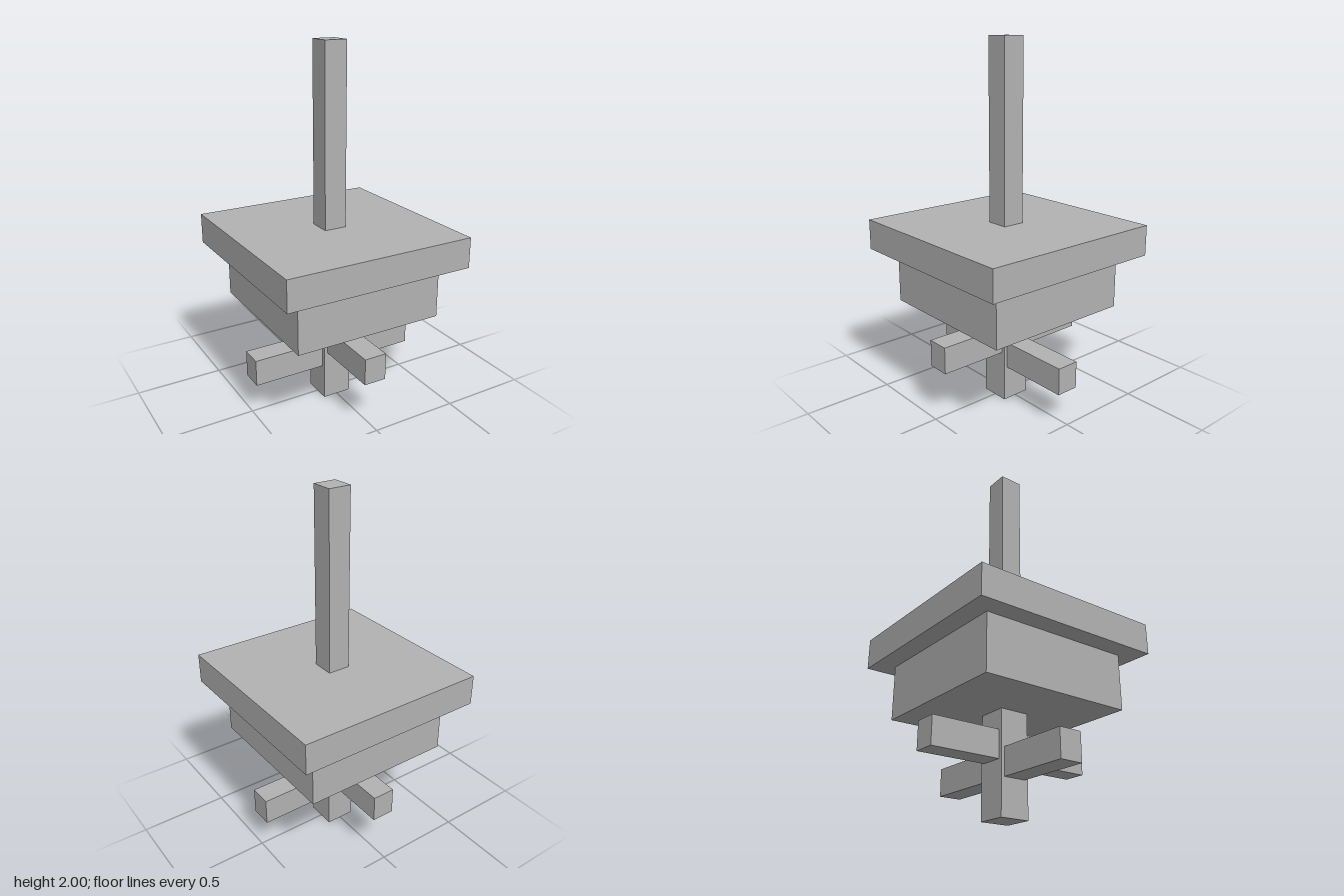
import * as THREE from 'three';

export function createModel() {
  const model = new THREE.Group();
  const grey = new THREE.MeshStandardMaterial({ color: 0xb2b2b2 });
  grey.name = 'plain grey';

  // Centred box spanning y0 to y1
  const block = (name, width, depth, y0, y1) => {
    const mesh = new THREE.Mesh(new THREE.BoxGeometry(width, y1 - y0, depth), grey);
    mesh.name = name;
    mesh.position.y = (y0 + y1) / 2;
    model.add(mesh);
  };

  // Upper post, top plate and body
  block('upperPost', 0.127, 0.127, 1.013, 2);
  block('topPlate', 1.074, 1.074, 0.843, 1.013);
  block('body', 0.853, 0.853, 0.541, 0.843);

  // Lower post with two crossing bars at different heights
  block('lowerPost', 0.165, 0.165, 0, 0.541);
  block('sideBar', 0.99, 0.127, 0.196, 0.346);
  block('frontBar', 0.127, 0.948, 0.285, 0.435);

  return model;
}
